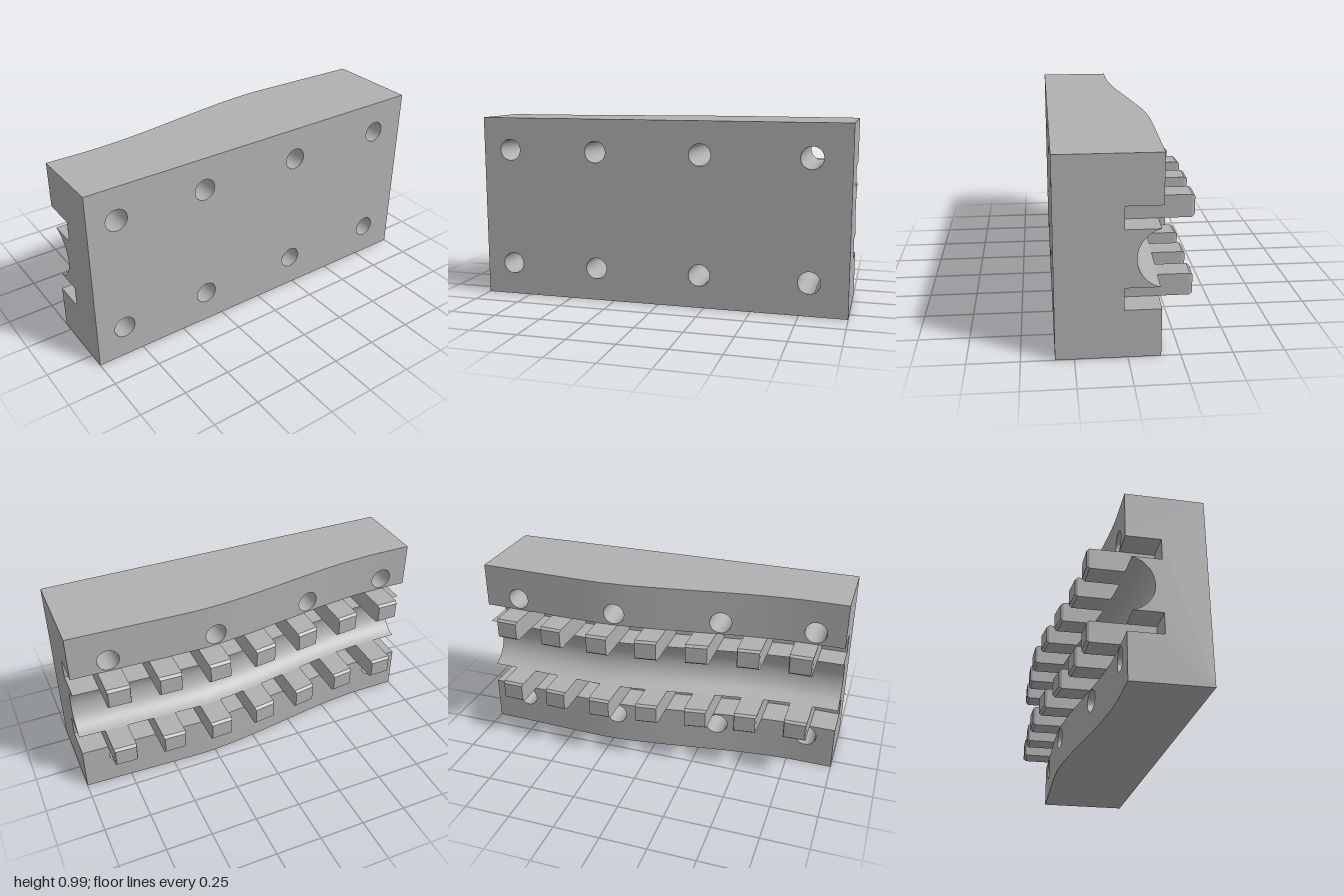
import * as THREE from 'three';

const FRONT = 0.34, HEIGHT = 0.988, MID = HEIGHT / 2;
const SLOT = [0.242, 0.352], SLOT_DEPTH = 0.175;
const HOLE_R = 0.058, HOLE_X = [-0.845, -0.35, 0.225, 0.8], HOLE_Y = [0.176, HEIGHT - 0.176];

// Height of the curved back, evenly spaced in x from -1.25 to 1.25
const backCurve = new THREE.SplineCurve(
  [-0.055, -0.055, -0.055, -0.076, -0.113, -0.151, -0.178, -0.175, -0.166, -0.157, -0.148]
    .map((z, i) => new THREE.Vector2(-1.25 + i * 0.25, z)));
const back = (x) => backCurve.getPoint((x + 1.25) / 2.5).y;

// Stations along x, with a clear column around each hole
const stations = [];
for (let i = 0; i <= 40; i++) {
  const x = -1 + i * 0.05;
  if (HOLE_X.every((h) => Math.abs(x - h) > 0.07)) stations.push(x);
}
HOLE_X.forEach((h) => stations.push(h - 0.065, h + 0.065));
stations.sort((a, b) => a - b);

// Smooth surface through a row of points for each parameter u
function loft(us, section) {
  const rows = us.map(section), n = rows[0].length, index = [];
  for (let i = 0; i < rows.length - 1; i++)
    for (let j = 0; j < n - 1; j++) {
      const a = i * n + j, b = a + n;
      index.push(a, a + 1, b, b, a + 1, b + 1);
    }
  const g = new THREE.BufferGeometry();
  g.setAttribute('position', new THREE.Float32BufferAttribute(rows.flat(2), 3));
  g.setIndex(index);
  g.computeVertexNormals();
  return g;
}

// Round channel between the slots, as [y, z] points
function channel(x) {
  const r = 0.147, half = MID - SLOT[1], a = Math.asin(half / r);
  const depth = THREE.MathUtils.mapLinear(Math.min(x, 0.25), -1, 0.25, 0.138, 0.118);
  const centre = back(x) + depth - r, pts = [];
  for (let i = 0; i <= 24; i++) {
    const t = -a + (2 * a * i) / 24;
    pts.push([MID + r * Math.sin(t), centre + r * Math.cos(t)]);
  }
  return pts;
}

// Faces of the cross-section from bottom to top; rails are added separately
function faces(x) {
  const p = back(x), f = p + SLOT_DEPTH, c = channel(x);
  const first = c[0], last = c[c.length - 1];
  const [s0, s1] = SLOT, s2 = HEIGHT - s1, s3 = HEIGHT - s0;
  return {
    bottom: [[0, FRONT], [0, p]],
    lowerSlotOuterWall: [[s0, p], [s0, f]],
    lowerSlotFloor: [[s0, f], [s1, f]],
    lowerSlotInnerWall: [[s1, f], first],
    channel: c,
    upperSlotInnerWall: [last, [s2, f]],
    upperSlotFloor: [[s2, f], [s3, f]],
    upperSlotOuterWall: [[s3, f], [s3, p]],
    top: [[HEIGHT, p], [HEIGHT, FRONT]],
  };
}

function rectangle(x0, x1, y0, y1) {
  return new THREE.Shape([[x0, y0], [x1, y0], [x1, y1], [x0, y1]].map((p) => new THREE.Vector2(...p)));
}
function addHole(shape, x, y) {
  shape.holes.push(new THREE.Path().absarc(x, y, HOLE_R, 0, Math.PI * 2, true));
}

export function createModel() {
  const model = new THREE.Group();
  const grey = new THREE.MeshStandardMaterial({ color: 0xb0b0b0 });
  grey.name = 'grey';
  const add = (name, geometry, parent = model) => {
    const m = new THREE.Mesh(geometry, grey);
    m.name = name;
    parent.add(m);
  };
  const group = (name) => {
    const g = new THREE.Group();
    g.name = name;
    model.add(g);
    return g;
  };

  // Swept faces of the block
  const block = group('block');
  for (const name of Object.keys(faces(0)))
    add(name, loft(stations, (x) => faces(x)[name].map(([y, z]) => [x, y, z])), block);

  // End faces
  for (const side of [-1, 1]) {
    const outline = Object.values(faces(side)).flat()
      .filter((p, i, all) => i === 0 || Math.hypot(p[0] - all[i - 1][0], p[1] - all[i - 1][1]) > 1e-6);
    const shape = new THREE.Shape(outline.map(([y, z]) => new THREE.Vector2(-side * z, y)));
    add(side > 0 ? 'leftEnd' : 'rightEnd',
      new THREE.ShapeGeometry(shape).rotateY(side * Math.PI / 2).translate(side, 0, 0), block);
  }

  // Flat front with its bolt holes
  const front = rectangle(-1, 1, 0, HEIGHT);
  HOLE_X.forEach((x) => HOLE_Y.forEach((y) => addHole(front, x, y)));
  add('frontFace', new THREE.ShapeGeometry(front, 18).translate(0, 0, FRONT), block);

  // Curved back rails, column by column
  const rails = group('backRails');
  [[0, SLOT[0]], [HEIGHT - SLOT[0], HEIGHT]].forEach(([y0, y1], k) => {
    for (let i = 0; i < stations.length - 1; i++) {
      const x0 = stations[i], x1 = stations[i + 1];
      const shape = rectangle(-x1, -x0, y0, y1);
      const hole = HOLE_X.find((h) => h > x0 && h < x1);
      if (hole !== undefined) addHole(shape, -hole, HOLE_Y[k]);
      const g = new THREE.ShapeGeometry(shape, 18).rotateY(Math.PI);
      const pos = g.attributes.position, normal = g.attributes.normal, n = new THREE.Vector3();
      for (let v = 0; v < pos.count; v++) {
        const x = pos.getX(v);
        pos.setZ(v, back(x));
        n.set((back(x + 0.01) - back(x - 0.01)) / 0.02, 0, -1).normalize();
        normal.setXYZ(v, n.x, n.y, n.z);
      }
      add('railStrip', g, rails);
    }
  });

  // Bolt hole walls
  const holes = group('boltHoles');
  const angles = Array.from({ length: 37 }, (_, i) => (i / 36) * Math.PI * 2);
  HOLE_X.forEach((hx) => HOLE_Y.forEach((hy) => add('boltHole', loft(angles, (a) => {
    const x = hx + HOLE_R * Math.cos(a), y = hy + HOLE_R * Math.sin(a);
    return [[x, y, back(x)], [x, y, FRONT]];
  }), holes)));

  // Two rows of chamfered teeth standing in the slots
  const teeth = group('teeth');
  const slotMid = (SLOT[0] + SLOT[1]) / 2, width = SLOT[1] - SLOT[0];
  for (const y of [slotMid, HEIGHT - slotMid])
    for (let i = 0; i < 7; i++) {
      const cx = -0.802 + i * 0.267;
      let g = new THREE.BoxGeometry(0.122, width, 1, 1, 1, 2);
      const pos = g.attributes.position;
      for (let v = 0; v < pos.count; v++) {
        const layer = pos.getZ(v), tip = layer < -0.25;
        const x = cx + pos.getX(v) * (tip ? 0.92 : 1);
        const offset = tip ? -0.16 : layer < 0.25 ? -0.146 : SLOT_DEPTH + 0.005;
        pos.setXYZ(v, x, y + pos.getY(v) * (tip ? 0.8 : 1), back(x) + offset);
      }
      g = g.toNonIndexed();
      g.computeVertexNormals();
      add('tooth', g, teeth);
    }

  return model;
}
